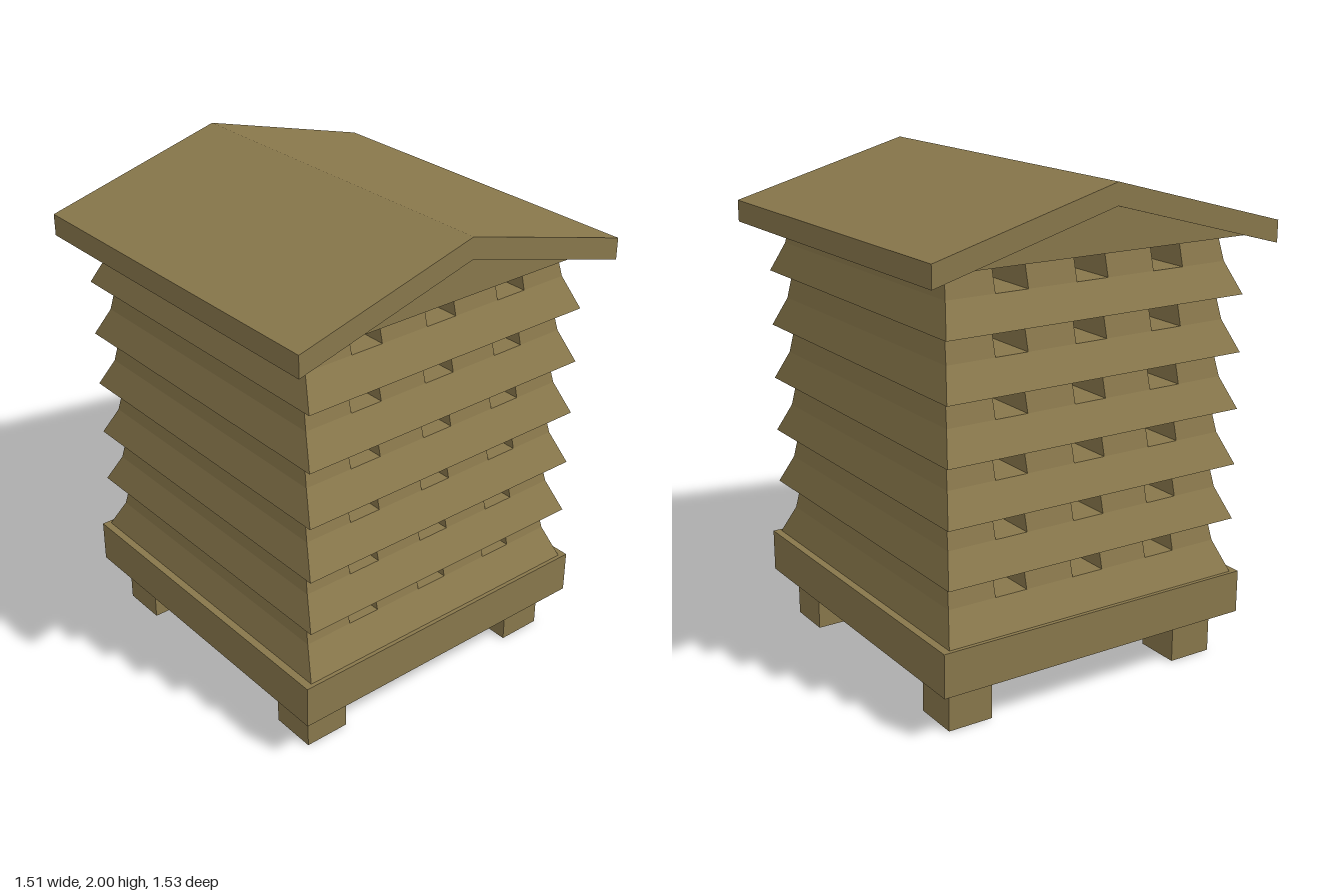
import * as THREE from 'three';

const wood = new THREE.MeshStandardMaterial({ color: 0x88774b, flatShading: true });
const dark = new THREE.MeshStandardMaterial({ color: 0x0c0c0c, flatShading: true });

function add(parent, name, geometry, x = 0, y = 0, z = 0, material = wood) {
  const mesh = new THREE.Mesh(geometry, material);
  mesh.name = name;
  mesh.position.set(x, y, z);
  parent.add(mesh);
  return mesh;
}

const shapeOf = (pts) => new THREE.Shape(pts.map(([x, y]) => new THREE.Vector2(x, y)));

// Prism with a front outline, centred on z = 0
function prism(pts, depth) {
  const g = new THREE.ExtrudeGeometry(shapeOf(pts), { depth, bevelEnabled: false });
  return g.translate(0, 0, -depth / 2);
}

// Box standing on y = 0 whose top has its own half sizes
function taperedBox(x0, z0, x1, z1, h) {
  const g = new THREE.BoxGeometry(2, h, 2).translate(0, h / 2, 0);
  const p = g.attributes.position;
  for (let i = 0; i < p.count; i++) {
    const top = p.getY(i) > h / 2;
    p.setX(i, p.getX(i) * (top ? x1 : x0));
    p.setZ(i, p.getZ(i) * (top ? z1 : z0));
  }
  g.computeVertexNormals();
  return g;
}

const MID = { x: 0.62, z: 0.625 }, TOP = { x: 0.607, z: 0.597 };
const BASE_Y = 0.366, PITCH = 0.2283, LOWER = 0.122, TIERS = 6;
const HOLES = [-0.348, 0, 0.348], HOLE_HALF = 0.069, HOLE_BACK = 0.37;

// Upper half of a tier: notched plan, with the outer faces leaning in
function notchedBand(h) {
  const front = [[-MID.x, MID.z]];
  for (const c of HOLES) {
    front.push([c - HOLE_HALF, MID.z], [c - HOLE_HALF, HOLE_BACK],
      [c + HOLE_HALF, HOLE_BACK], [c + HOLE_HALF, MID.z]);
  }
  front.push([MID.x, MID.z]);
  const back = front.map(([x, z]) => [-x, -z]);
  const g = new THREE.ExtrudeGeometry(shapeOf([...front, ...back]), { depth: h, bevelEnabled: false });
  g.rotateX(-Math.PI / 2);
  const p = g.attributes.position;
  for (let i = 0; i < p.count; i++) {
    if (p.getY(i) < h / 2) continue;
    const x = p.getX(i), z = p.getZ(i);
    if (Math.abs(x) > MID.x - 0.001) p.setX(i, Math.sign(x) * TOP.x);
    if (Math.abs(z) > MID.z - 0.001) p.setZ(i, Math.sign(z) * TOP.z);
  }
  g.computeVertexNormals();
  return g;
}

export function createModel() {
  const model = new THREE.Group();
  model.name = 'hive';

  // Legs and floor slab
  for (const sx of [-1, 1]) {
    for (const sz of [-1, 1]) {
      add(model, 'leg', new THREE.BoxGeometry(0.188, 0.2, 0.19), sx * 0.528, 0.1, sz * 0.53);
    }
  }
  add(model, 'base', new THREE.BoxGeometry(1.382, 0.176, 1.422), 0, 0.278, 0);

  // Stacked tiers: flared skirt below, notched band above
  const skirt = taperedBox(0.66, 0.695, MID.x, MID.z, LOWER);
  const band = notchedBand(PITCH - LOWER);
  for (let i = 0; i < TIERS; i++) {
    const tier = new THREE.Group();
    tier.name = 'tier';
    tier.position.y = BASE_Y + i * PITCH;
    add(tier, 'skirt', skirt);
    add(tier, 'holeBand', band, 0, LOWER, 0);
    model.add(tier);
  }

  // Dark core that closes the holes
  const height = TIERS * PITCH;
  add(model, 'darkCore', new THREE.BoxGeometry(0.9, height - 0.02, 2 * HOLE_BACK + 0.006),
    0, BASE_Y + height / 2, 0, dark);

  // Gable under the roof, then the pitched roof
  const eaves = BASE_Y + height;
  add(model, 'gable', prism([[-0.663, eaves], [0.663, eaves], [0, 1.915]], 1.39));
  add(model, 'roof', prism([
    [-0.756, 1.708], [0, 1.915], [0.756, 1.708],
    [0.756, 1.795], [0, 2], [-0.756, 1.795],
  ], 1.532));

  return model;
}
